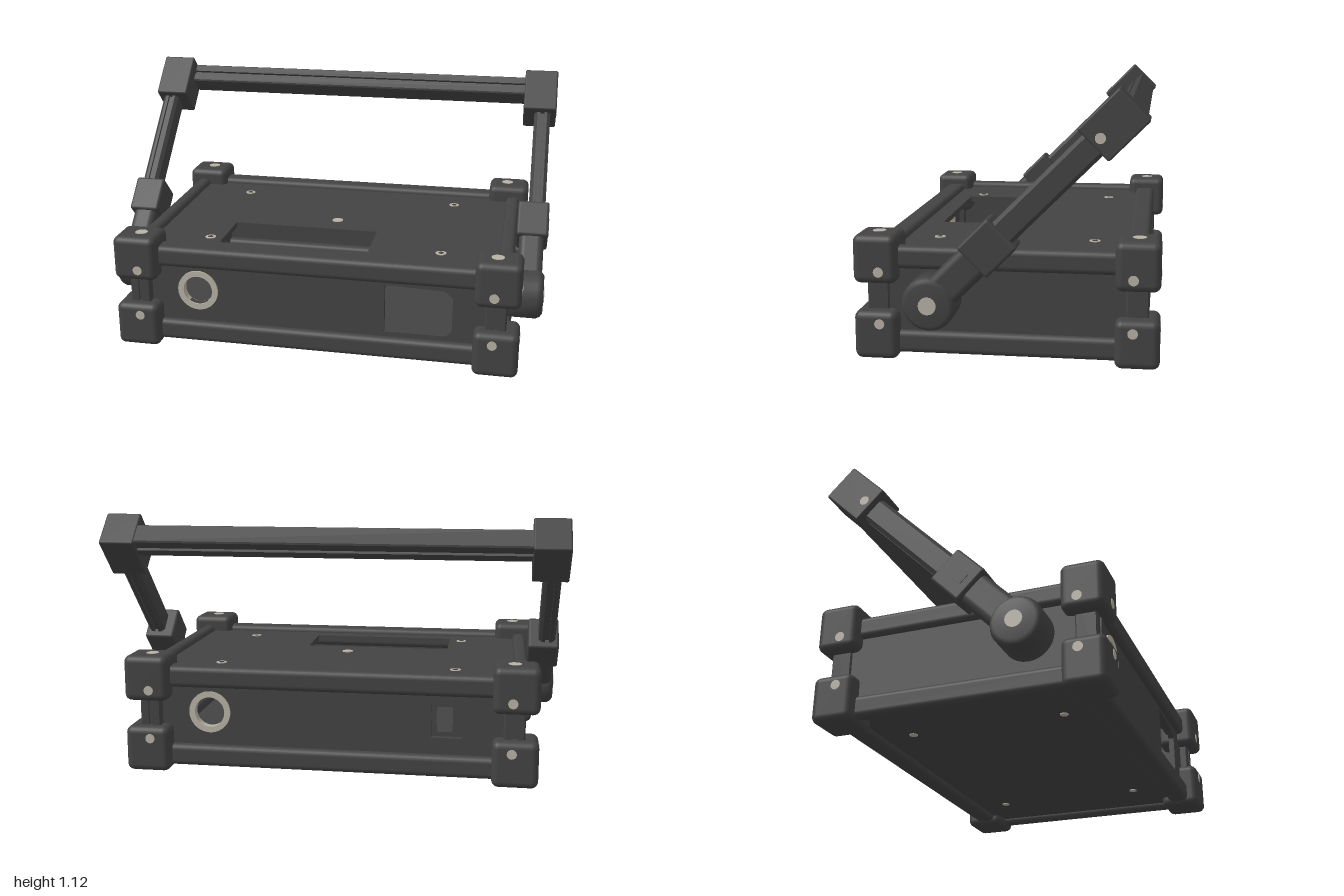
import * as THREE from 'three';
import { RoundedBoxGeometry } from 'three/addons/geometries/RoundedBoxGeometry.js';

const dark = new THREE.MeshStandardMaterial({ color: 0x434343 });
dark.name = 'dark plastic';
const metal = new THREE.MeshStandardMaterial({ color: 0xb8b2a6 });
metal.name = 'bolt metal';

function add(parent, name, geo, mat, x = 0, y = 0, z = 0) {
  const m = new THREE.Mesh(geo, mat);
  m.name = name;
  m.position.set(x, y, z);
  parent.add(m);
  return m;
}

const block = (w, h, d, r) => new RoundedBoxGeometry(w, h, d, 3, r);

// Bolt head: flat disc facing along the given axis direction
function bolt(parent, x, y, z, dir, r = 0.021, mat = metal) {
  const m = add(parent, 'bolt', new THREE.CylinderGeometry(r, r, 0.006, 16), mat, x, y, z);
  m.quaternion.setFromUnitVectors(new THREE.Vector3(0, 1, 0), new THREE.Vector3(...dir));
}

function polygon(points, Type = THREE.Shape) {
  return new Type(points.map(p => new THREE.Vector2(...p)));
}
const rect = (x0, y0, x1, y1, Type) => polygon([[x0, y0], [x1, y0], [x1, y1], [x0, y1]], Type);
function circle(x, y, r, Type = THREE.Path) {
  const p = new Type();
  p.absarc(x, y, r, 0, Math.PI * 2);
  return p;
}
function plate(outline, holes, depth) {
  outline.holes.push(...holes);
  return new THREE.ExtrudeGeometry(outline, { depth, bevelEnabled: false, curveSegments: 24 });
}

// Bar with a groove along its +y and -y faces and chamfered corners, centred, running along z
function groovedBar(w, h, length, c = 0.006) {
  const a = w / 2, b = h / 2, g = 0.009, d = 0.013;
  const upper = [[a, b - c], [a - c, b], [g, b], [g, b - d], [-g, b - d], [-g, b], [c - a, b], [-a, b - c]];
  const lower = upper.map(([x, y]) => [-x, -y]);
  return plate(polygon([...upper, ...lower]), [], length).translate(0, 0, -length / 2);
}

function buildCase() {
  const g = new THREE.Group();
  g.name = 'case';

  // Walls with their openings, set slightly inside the rails
  const frontWindow = polygon([[0.31, 0.14], [0.58, 0.14], [0.605, 0.17], [0.605, 0.32],
    [0.57, 0.35], [0.31, 0.36]], THREE.Path);
  add(g, 'frontPanel', plate(rect(-0.77, 0.05, 0.77, 0.45, THREE.Shape),
    [circle(-0.53, 0.27, 0.07), frontWindow], 0.025), dark, 0, 0, 0.512);
  add(g, 'backPanel', plate(rect(-0.77, 0.05, 0.77, 0.45, THREE.Shape),
    [circle(0.53, 0.26, 0.073), rect(-0.57, 0.19, -0.44, 0.34, THREE.Path)], 0.025), dark, 0, 0, -0.537);
  add(g, 'socketPlate', plate(rect(-0.59, 0.17, -0.42, 0.36, THREE.Shape),
    [rect(-0.53, 0.21, -0.46, 0.32, THREE.Path)], 0.02), dark, 0, 0, -0.512);
  const top = add(g, 'topPanel', plate(rect(-0.81, -0.5, 0.81, 0.5, THREE.Shape),
    [rect(-0.47, -0.39, 0.21, -0.12, THREE.Path)], 0.025), dark, 0, 0.418, 0);
  top.rotation.x = -Math.PI / 2;
  add(g, 'bottomPanel', new THREE.BoxGeometry(1.62, 0.025, 1.04), dark, 0, 0.06, 0);
  for (const s of [-1, 1])
    add(g, 'sidePanel', new THREE.BoxGeometry(0.025, 0.4, 1.04), dark, s * 0.815, 0.25, 0);

  // Edge rails
  for (const y of [0.07, 0.422]) {
    for (const s of [-1, 1]) {
      add(g, 'longRail', block(1.56, 0.095, 0.095, 0.025), dark, 0, y, s * 0.52);
      add(g, 'shortRail', block(0.065, 0.095, 1.04, 0.025), dark, s * 0.817, y, 0);
    }
  }

  // Corner posts, corner blocks and their bolts
  for (const sx of [-1, 1]) {
    for (const sz of [-1, 1]) {
      const post = add(g, 'cornerPost', groovedBar(0.09, 0.09, 0.3), dark, sx * 0.79, 0.265, sz * 0.527);
      post.rotation.x = Math.PI / 2;
      for (const up of [-1, 1]) {
        const y = up > 0 ? 0.42 : 0.105;
        const by = up > 0 ? 0.37 : 0.155;
        add(g, 'cornerBlock', block(0.195, 0.2, 0.18, 0.03), dark, sx * 0.795, y, sz * 0.528);
        bolt(g, sx * 0.78, by, sz * 0.617, [0, 0, sz]);
        bolt(g, sx * 0.892, by, sz * 0.51, [sx, 0, 0]);
      }
      bolt(g, sx * 0.785, 0.519, sz * 0.53, [0, 1, 0], 0.028);
      bolt(g, sx * 0.53, 0.443, sz * 0.335, [0, 1, 0], 0.024);
      bolt(g, sx * 0.53, 0.444, sz * 0.335, [0, 1, 0], 0.012, dark);
      bolt(g, sx * 0.53, 0.047, sz * 0.335, [0, -1, 0], 0.018);
    }
  }
  bolt(g, 0, 0.443, 0, [0, 1, 0], 0.026);

  // Metal socket rings, front and back
  for (const s of [-1, 1]) {
    const ring = plate(circle(0, 0, 0.092, THREE.Shape), [circle(0, 0, 0.066)], 0.035);
    add(g, 'socketRing', ring, metal, s * -0.53, 0.265, s * 0.527 - 0.0175);
  }
  return g;
}

// Handle built upright about its pivot, then tilted back
function buildHandle() {
  const g = new THREE.Group();
  g.name = 'handle';
  const hubProfile = polygon([[0, -0.1], [0.108, -0.1], [0.108, 0.035], [0.1, 0.052], [0.085, 0.063], [0, 0.065]]).getPoints();
  for (const s of [-1, 1]) {
    const hub = add(g, 'pivotHub', new THREE.LatheGeometry(hubProfile, 32), dark, s * 0.92, 0, 0);
    hub.rotation.z = -s * Math.PI / 2;
    bolt(g, s * 0.985, 0, 0, [s, 0, 0], 0.036);
    add(g, 'armLink', block(0.11, 0.34, 0.14, 0.03), dark, s * 0.918, 0.17, 0);
    add(g, 'armCollar', block(0.14, 0.17, 0.165, 0.012), dark, s * 0.92, 0.335, 0);
    add(g, 'collarPlate', new THREE.BoxGeometry(0.008, 0.07, 0.05), dark, s * 0.989, 0.325, 0);
    // Arm grooves face the front and back of the handle
    const arm = add(g, 'arm', groovedBar(0.075, 0.11, 0.6, 0.015), dark, s * 0.935, 0.67, 0);
    arm.rotation.x = Math.PI / 2;
    add(g, 'handleCorner', block(0.155, 0.22, 0.17, 0.008), dark, s * 0.9225, 1.02, 0);
    bolt(g, s * 0.999, 0.95, 0, [s, 0, 0]);
  }
  const bar = add(g, 'crossBar', groovedBar(0.098, 0.098, 1.72), dark, 0, 1.078, -0.025);
  bar.rotation.set(Math.PI / 2, Math.PI / 2, 0);
  g.position.set(0, 0.265, 0.29);
  g.rotation.x = -Math.PI / 4;
  return g;
}

export function createModel() {
  const model = new THREE.Group();
  model.name = 'caseWithHandle';
  model.add(buildCase(), buildHandle());
  return model;
}
